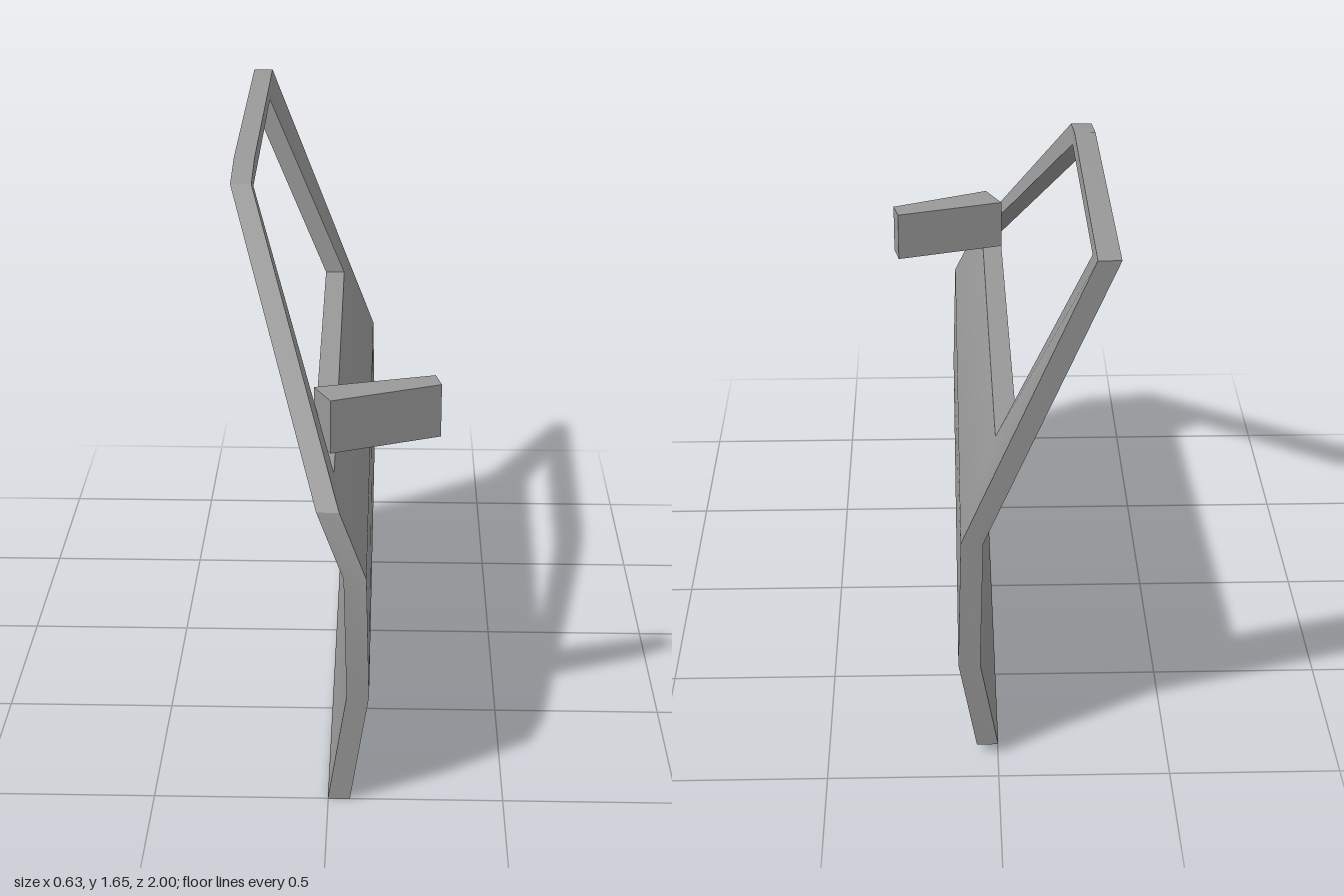
import * as THREE from 'three';
import { toCreasedNormals } from 'three/addons/utils/BufferGeometryUtils.js';

const material = new THREE.MeshStandardMaterial({ color: 0x999999 });

// Gives a bent sheet of faces a thickness along x; edges used by one face get a side wall
function thickSheet(points, faces, thickness) {
  const positions = [];
  const outer = (i) => points[i];
  const inner = (i) => [points[i][0] - thickness, points[i][1], points[i][2]];
  const triangle = (a, b, c) => positions.push(...a, ...b, ...c);
  const edges = new Set();
  const eachEdge = (face, fn) => face.forEach((a, i) => fn(a, face[(i + 1) % face.length]));
  for (const face of faces) {
    for (let i = 1; i < face.length - 1; i++) {
      const corners = [face[0], face[i], face[i + 1]];
      triangle(...corners.map(outer));
      triangle(...corners.map(inner).reverse());
    }
    eachEdge(face, (a, b) => edges.add(`${a}-${b}`));
  }
  for (const face of faces) {
    eachEdge(face, (a, b) => {
      if (edges.has(`${b}-${a}`)) return;
      triangle(outer(b), outer(a), inner(a));
      triangle(outer(b), inner(a), inner(b));
    });
  }
  const geometry = new THREE.BufferGeometry();
  geometry.setAttribute('position', new THREE.Float32BufferAttribute(positions, 3));
  return toCreasedNormals(geometry, 0.5);
}

export function createModel() {
  const group = new THREE.Group();
  group.name = 'carDoor';

  // Outer skin corners (x, y, z)
  const points = [
    [0.062, 0, 1], [0.062, 0.03, -0.89],          // 0, 1 sill
    [0.115, 0.335, 1], [0.115, 0.335, -0.915],    // 2, 3 widest line
    [0.106, 0.705, 1], [0.106, 0.75, -0.92],      // 4, 5 shoulder
    [0.03, 0.885, 0.955],                         // 6 foot of front pillar
    [0.012, 0.935, 0.805], [0.005, 0.997, -0.75], // 7, 8 window sill
    [-0.25, 1.58, 0.165], [-0.25, 1.548, 0.075],  // 9, 10 top of front pillar
    [-0.25, 1.615, 0],                            // 11 start of roof rail
    [-0.25, 1.65, -1], [-0.25, 1.588, -0.825],    // 12, 13 rear top corner
  ];
  const faces = [
    [0, 1, 3, 2], [2, 3, 5, 4],                   // lower panel
    [4, 5, 8, 7], [4, 7, 6],                      // panel under the window
    [6, 7, 10, 9],                                // front pillar
    [9, 10, 11], [11, 10, 13, 12],                // roof rail
    [8, 5, 12, 13],                               // rear pillar
  ];
  const door = new THREE.Mesh(thickSheet(points, faces, 0.063), material);
  door.name = 'doorPanelAndWindowFrame';
  group.add(door);

  // Wing mirror: a tapering plan (x, -z) raised to a block
  const plan = new THREE.Shape(
    [[-0.05, -0.63], [0, -0.732], [0.313, -0.602], [0.297, -0.53]].map((p) => new THREE.Vector2(...p)),
  );
  const mirrorGeometry = new THREE.ExtrudeGeometry(plan, { depth: 0.16, bevelEnabled: false });
  mirrorGeometry.rotateX(-Math.PI / 2);
  const mirror = new THREE.Mesh(mirrorGeometry, material);
  mirror.name = 'wingMirror';
  mirror.position.y = 0.963;
  group.add(mirror);

  return group;
}
